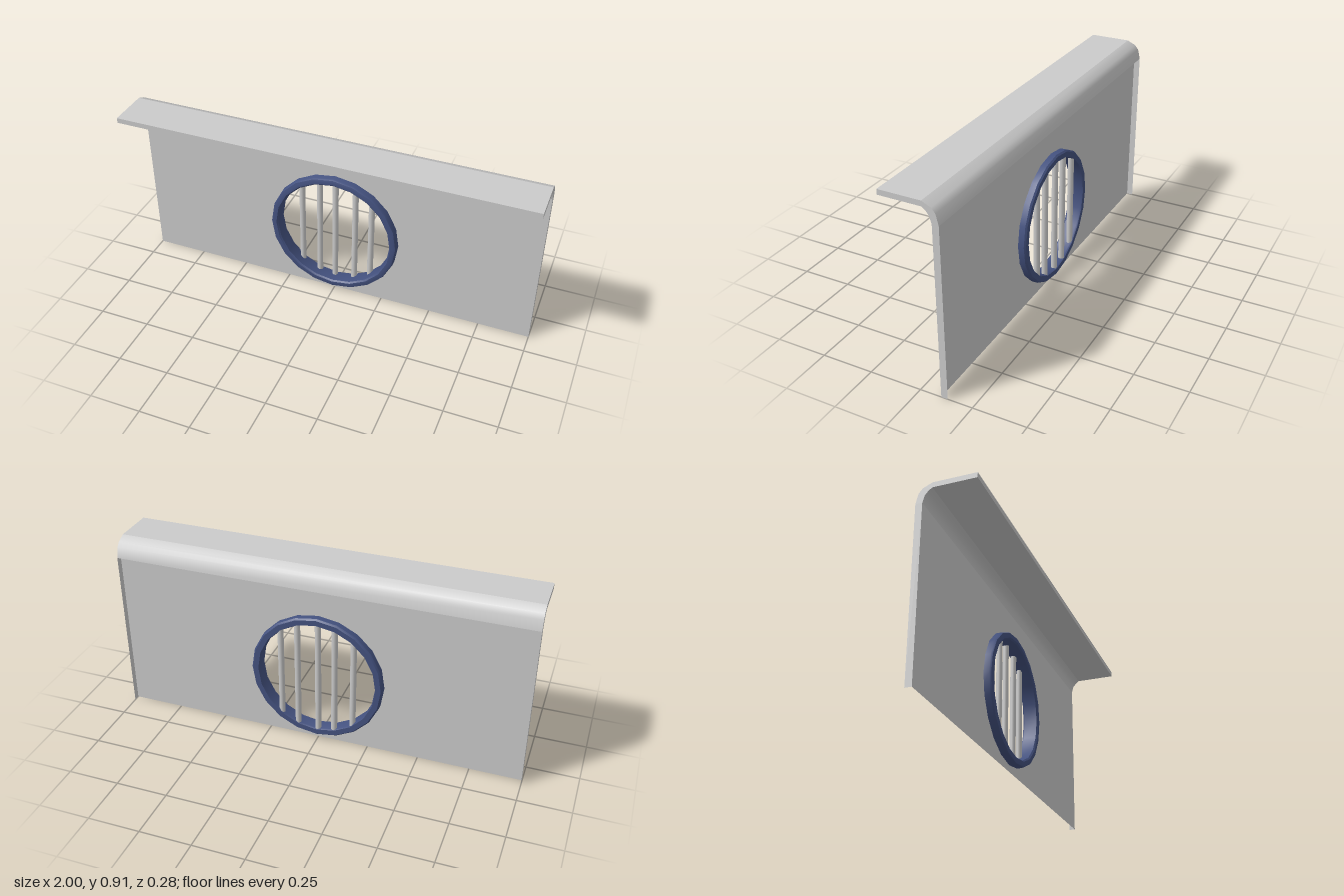
import * as THREE from 'three';
import { toCreasedNormals } from 'three/addons/utils/BufferGeometryUtils.js';

const grey = new THREE.MeshStandardMaterial({ color: 0xcccccc });
const sheet = new THREE.MeshStandardMaterial({ color: 0xcccccc, side: THREE.DoubleSide });
const blue = new THREE.MeshStandardMaterial({ color: 0x445280 });
const CENTRE_Y = 0.358;
const WALL_FRONT = -0.102;
const WALL_BACK = -0.133;
const BEND_Y = 0.82;
const SHELF_TOP = 0.911;
const SHELF_UNDER = 0.886;
const SHELF_BACK = -0.06;
const SHELF_FRONT = 0.14;

const vectors = (pairs) => pairs.map(([a, b]) => new THREE.Vector2(a, b));

function addMesh(parent, name, geometry, material) {
  const mesh = new THREE.Mesh(geometry, material);
  mesh.name = name;
  parent.add(mesh);
  return mesh;
}

export function createModel() {
  const model = new THREE.Group();
  model.name = 'ventPanel';

  // Upright front sheet with a round opening, open at the back
  const wall = new THREE.Shape(vectors([[-1, 0], [1, 0], [1, BEND_Y], [-1, BEND_Y]]));
  const opening = new THREE.Path();
  opening.absarc(0, CENTRE_Y, 0.31, 0, Math.PI * 2, true);
  wall.holes.push(opening);
  const wallMesh = addMesh(model, 'wall', new THREE.ShapeGeometry(wall, 10), sheet);
  wallMesh.position.z = WALL_FRONT;

  // Narrow returns at both ends of the sheet
  for (const side of [-1, 1]) {
    const end = addMesh(model, 'wallEnd', new THREE.PlaneGeometry(WALL_FRONT - WALL_BACK, BEND_Y), sheet);
    end.position.set(side, BEND_Y / 2, (WALL_FRONT + WALL_BACK) / 2);
    end.rotation.y = side * Math.PI / 2;
  }

  // Rounded bend: side section as (-z, y), swept across x
  const section = new THREE.Shape(vectors([
    [-WALL_FRONT, BEND_Y], [-WALL_BACK, BEND_Y], [0.121, 0.87], [0.102, 0.892], [-SHELF_BACK, SHELF_TOP],
    [-SHELF_BACK, SHELF_UNDER], [0.077, 0.873], [0.093, 0.853],
  ]));
  const bendGeo = new THREE.ExtrudeGeometry(section, { depth: 2, bevelEnabled: false });
  bendGeo.translate(0, 0, -1);
  bendGeo.rotateY(Math.PI / 2);
  addMesh(model, 'bend', toCreasedNormals(bendGeo, 0.7), grey);

  // Flat top shelf
  const shelf = addMesh(model, 'topShelf',
    new THREE.BoxGeometry(2, SHELF_TOP - SHELF_UNDER, SHELF_FRONT - SHELF_BACK), grey);
  shelf.position.set(0, (SHELF_TOP + SHELF_UNDER) / 2, (SHELF_FRONT + SHELF_BACK) / 2);

  // Ring through the opening: closed (radius, z) profile with softened rims
  const profile = vectors([
    [0.292, -0.139], [0.318, -0.139], [0.325, -0.131], [0.325, -0.075], [0.321, -0.066], [0.312, -0.063],
    [0.297, -0.063], [0.29, -0.07], [0.288, -0.131], [0.292, -0.139],
  ]);
  const ringGeo = new THREE.LatheGeometry(profile, 20);
  ringGeo.rotateX(Math.PI / 2);
  const ring = addMesh(model, 'ring', toCreasedNormals(ringGeo, 0.7), blue);
  ring.position.y = CENTRE_Y;

  // Vertical bars, each cut to the chord of the ring
  const bars = new THREE.Group();
  bars.name = 'bars';
  model.add(bars);
  [-0.179, -0.087, -0.006, 0.096, 0.179].forEach((x) => {
    const length = 2 * Math.sqrt(0.305 ** 2 - x ** 2);
    const bar = addMesh(bars, 'bar', new THREE.CylinderGeometry(0.0155, 0.0155, length, 8), grey);
    bar.position.set(x, CENTRE_Y, -0.122);
  });

  return model;
}
